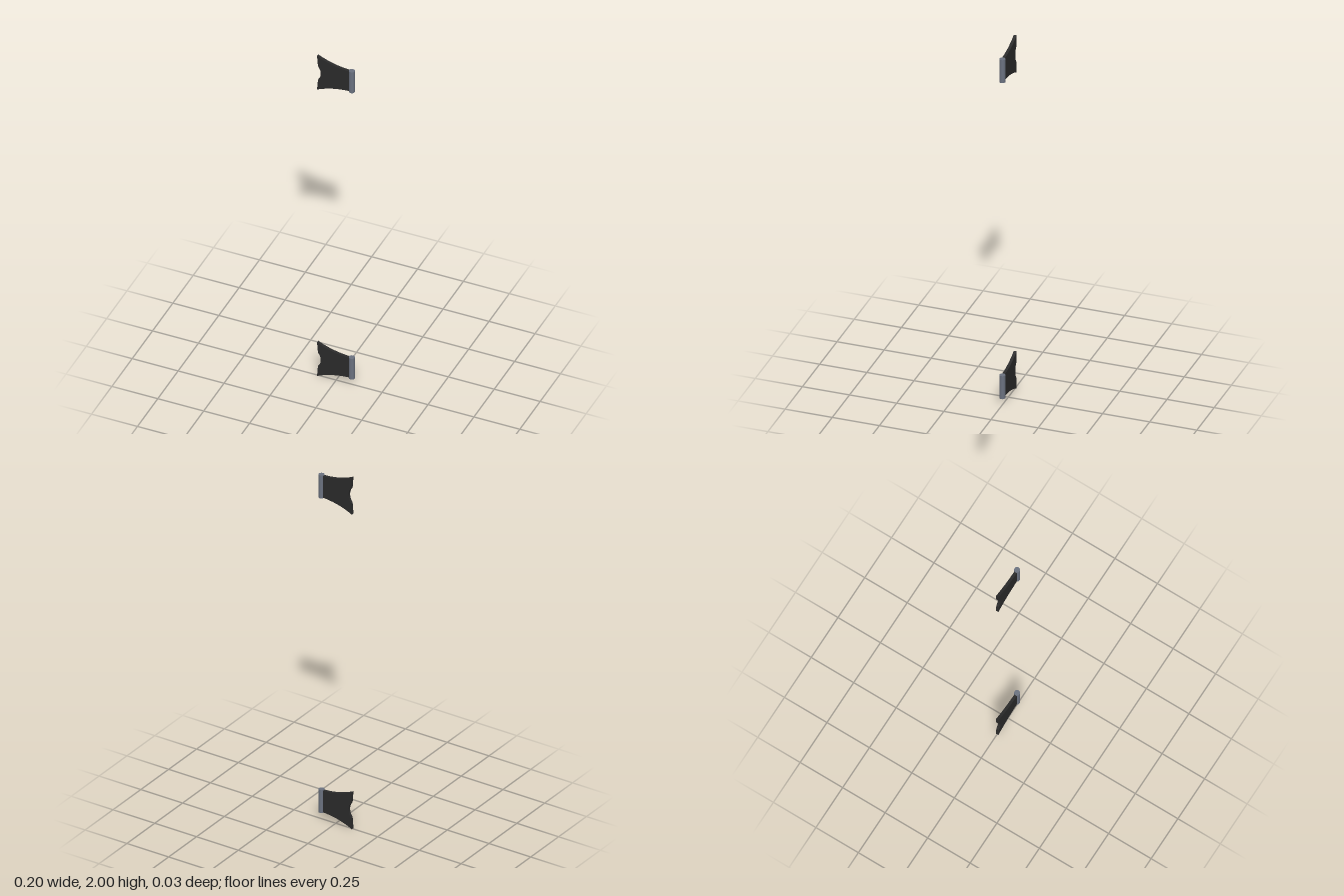
import * as THREE from 'three';

const plateMaterial = new THREE.MeshStandardMaterial({ color: 0x2b2b2b });
plateMaterial.name = 'dark plate';
const pinMaterial = new THREE.MeshStandardMaterial({ color: 0x6b7280 });
pinMaterial.name = 'grey metal';

const HALF = 0.105; // half height of a bracket at its wide end
const THICK = 0.015;

// Flared plate: concave top and bottom edges, scooped notch in the wide end
function plateGeometry() {
  const s = new THREE.Shape();
  s.moveTo(-0.101, HALF);
  s.lineTo(-0.096, 0.042);
  s.quadraticCurveTo(-0.081, 0.024, -0.081, 0);
  s.quadraticCurveTo(-0.081, -0.024, -0.096, -0.042);
  s.lineTo(-0.101, -HALF);
  s.quadraticCurveTo(-0.015, -0.062, 0.086, -0.061);
  s.lineTo(0.086, 0.061);
  s.quadraticCurveTo(-0.015, 0.062, -0.101, HALF);
  const g = new THREE.ExtrudeGeometry(s, { depth: THICK, bevelEnabled: false, curveSegments: 8 });
  g.translate(0, 0, -THICK / 2);
  return g;
}

export function createModel() {
  const model = new THREE.Group();
  model.name = 'bracketPair';
  const plateGeo = plateGeometry();
  const pinGeo = new THREE.CylinderGeometry(0.0155, 0.0155, 0.13, 10);

  // Two identical brackets, one low and one high
  for (const [name, y] of [['lowerBracket', HALF], ['upperBracket', 2 - HALF]]) {
    const bracket = new THREE.Group();
    bracket.name = name;
    bracket.position.y = y;

    const plate = new THREE.Mesh(plateGeo, plateMaterial);
    plate.name = 'flaredPlate';

    // Upright hinge pin at the narrow end
    const pin = new THREE.Mesh(pinGeo, pinMaterial);
    pin.name = 'hingePin';
    pin.position.x = 0.0855;

    bracket.add(plate, pin);
    model.add(bracket);
  }
  return model;
}
